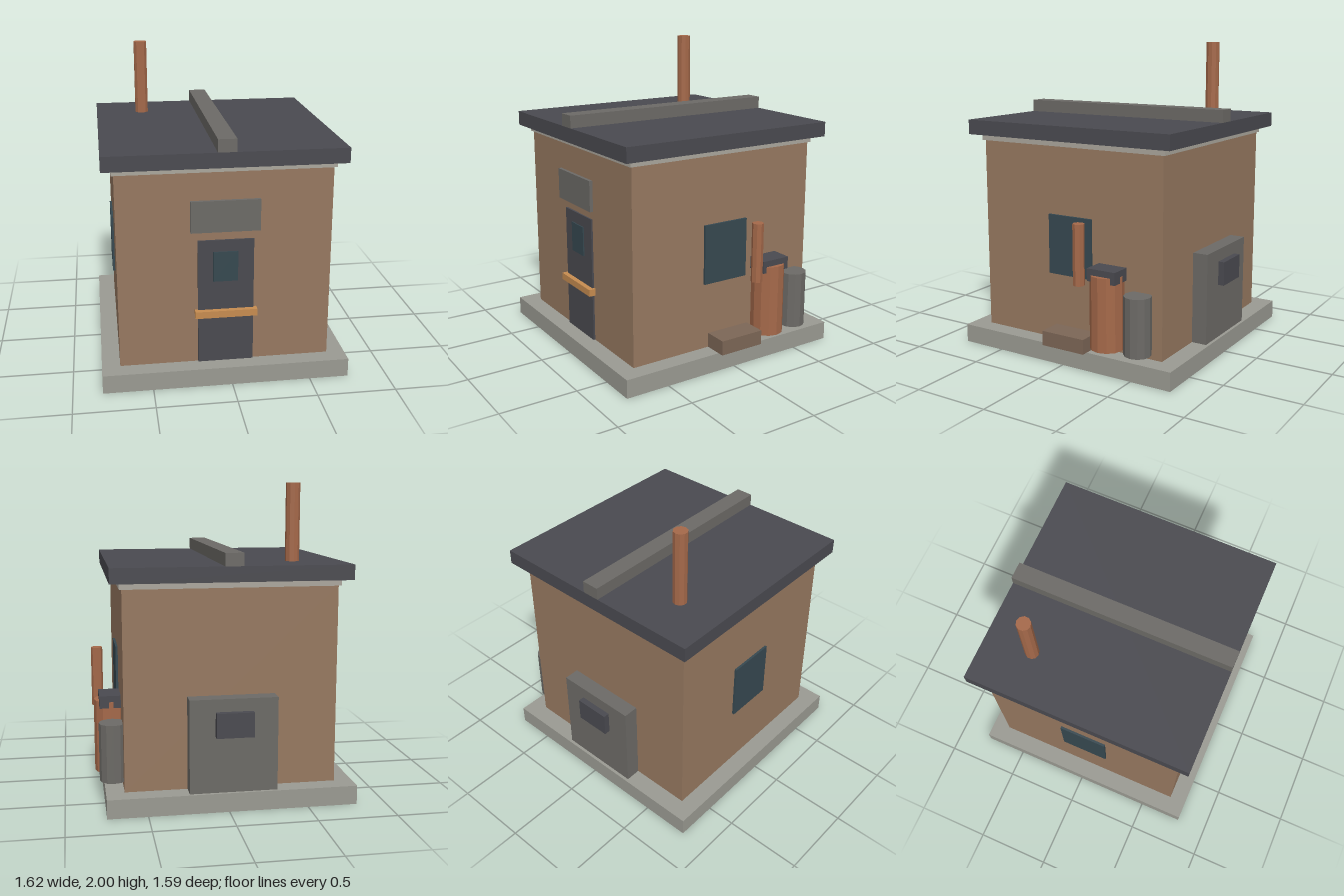
import * as THREE from 'three';

const material = (color) => new THREE.MeshStandardMaterial({ color, flatShading: true });
const MAT = {
  concrete: material(0x9a9a92),
  wall: material(0x967860),
  trim: material(0xaaa69c),
  dark: material(0x4a4a50),
  grey: material(0x6c6a66),
  glass: material(0x364850),
  rust: material(0xa5694a),
  wood: material(0xc68c50),
  crate: material(0x7c6656),
};

export function createModel() {
  const model = new THREE.Group();
  model.name = 'hut';

  const add = (name, geometry, mat, x, y, z) => {
    const mesh = new THREE.Mesh(geometry, MAT[mat]);
    mesh.name = name;
    mesh.position.set(x, y, z);
    model.add(mesh);
  };

  // Box given by its extents on each axis
  const box = (name, mat, [x0, x1], [y0, y1], [z0, z1]) =>
    add(name, new THREE.BoxGeometry(x1 - x0, y1 - y0, z1 - z0), mat,
      (x0 + x1) / 2, (y0 + y1) / 2, (z0 + z1) / 2);

  // Upright faceted cylinder between two heights
  const post = (name, mat, radius, sides, x, z, [y0, y1]) =>
    add(name, new THREE.CylinderGeometry(radius, radius, y1 - y0, sides), mat, x, (y0 + y1) / 2, z);

  // Main structure
  box('foundation', 'concrete', [-0.815, 0.75], [0, 0.12], [-0.775, 0.795]);
  box('walls', 'wall', [-0.7, 0.635], [0.12, 1.38], [-0.655, 0.68]);
  box('eavesTrim', 'trim', [-0.715, 0.65], [1.375, 1.415], [-0.67, 0.695]);
  box('roof', 'dark', [-0.775, 0.71], [1.415, 1.51], [-0.735, 0.755]);
  box('roofRidge', 'grey', [-0.09, 0.025], [1.51, 1.59], [-0.735, 0.755]);
  post('chimney', 'rust', 0.045, 10, -0.463, -0.42, [1.5, 2]);

  // Front door and sign board
  box('door', 'dark', [-0.205, 0.145], [0.12, 0.94], [0.67, 0.692]);
  box('doorWindow', 'glass', [-0.11, 0.045], [0.67, 0.865], [0.68, 0.7]);
  box('doorBar', 'wood', [-0.225, 0.165], [0.435, 0.48], [0.68, 0.725]);
  box('signBoard', 'grey', [-0.25, 0.18], [1.0, 1.2], [0.693, 0.715]);

  // One window on each side wall
  for (const [name, x] of [['leftWindow', 0.635], ['rightWindow', -0.7]])
    box(name, 'glass', [x - 0.015, x + 0.015], [0.555, 0.94], [-0.155, 0.165]);

  // Equipment along the left wall
  post('tank', 'rust', 0.107, 12, 0.695, -0.302, [0.16, 0.63]);
  box('tankBracket', 'dark', [0.635, 0.77], [0.59, 0.67], [-0.405, -0.205]);
  post('drum', 'grey', 0.086, 12, 0.695, -0.519, [0.16, 0.53]);
  post('ventPipe', 'rust', 0.037, 8, 0.772, -0.148, [0.555, 0.94]);
  box('crate', 'crate', [0.635, 0.79], [0.12, 0.215], [-0.185, 0.125]);

  // Rear service hatch
  box('rearPanel', 'grey', [-0.305, 0.245], [0.12, 0.71], [-0.755, -0.655]);
  box('rearVent', 'dark', [-0.15, 0.085], [0.475, 0.63], [-0.795, -0.755]);

  return model;
}
